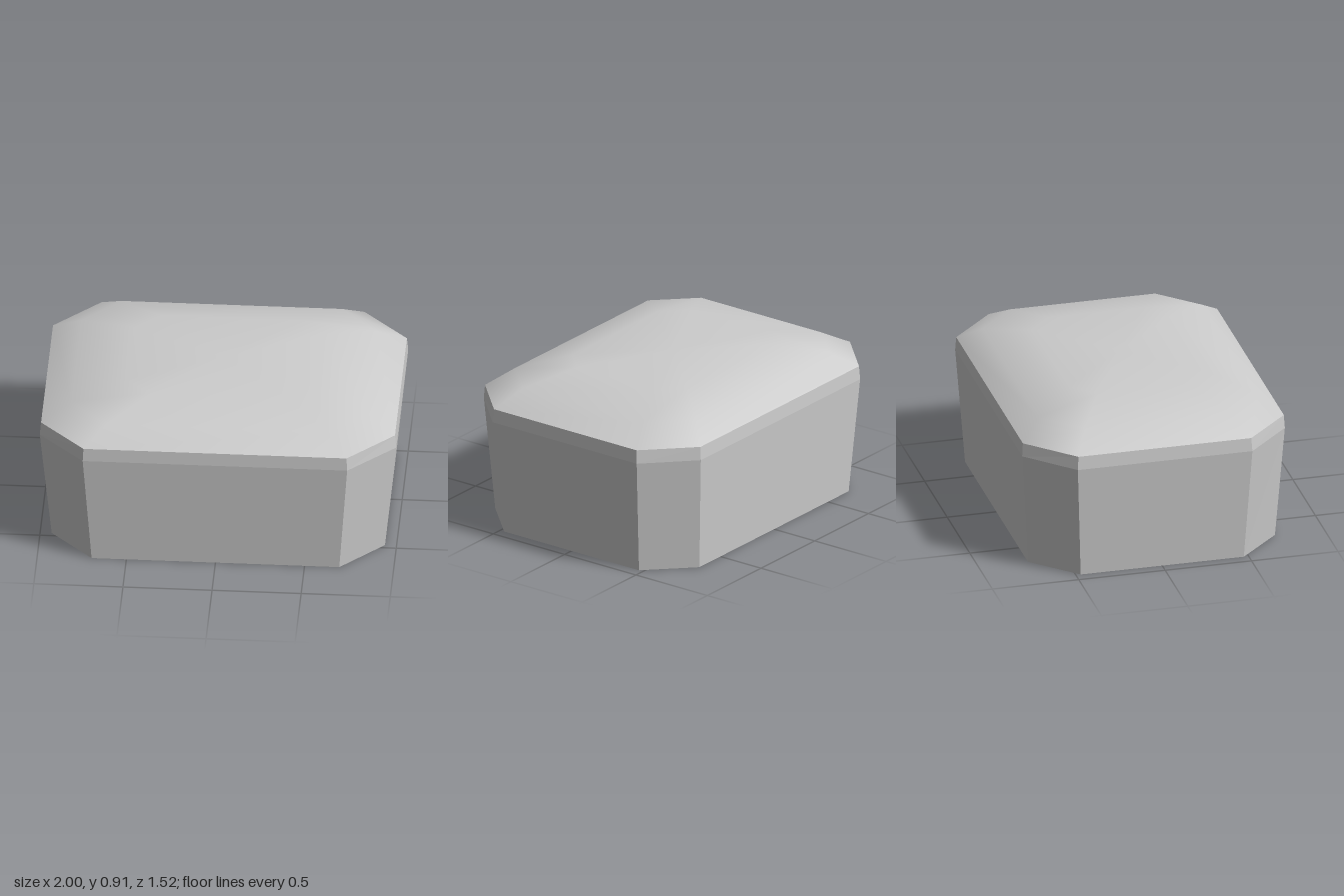
import * as THREE from 'three';

// Eight-cornered ring: half sizes x, z and the half lengths fx, fz of the straight sides
const ring = ([y, x, z, fx, fz]) => [
  [x, y, -fz], [x, y, fz], [fx, y, z], [-fx, y, z],
  [-x, y, fz], [-x, y, -fz], [-fx, y, -z], [fx, y, -z],
];

// Skin the rings from bottom to top, optionally closing the lower or upper end
function loft(levels, { bottom = false, top = false, flat = false }) {
  const points = levels.flatMap(ring);
  const index = [];
  const last = (levels.length - 1) * 8;
  for (let r = 0; r < last; r += 8) {
    for (let i = 0; i < 8; i++) {
      const j = (i + 1) % 8;
      index.push(r + i, r + 8 + i, r + j, r + 8 + i, r + 8 + j, r + j);
    }
  }
  if (bottom) {
    const c = points.push([0, levels[0][0], 0]) - 1;
    for (let i = 0; i < 8; i++) index.push(c, i, (i + 1) % 8);
  }
  if (top) {
    const c = points.push([0, levels[levels.length - 1][0], 0]) - 1;
    for (let i = 0; i < 8; i++) index.push(c, last + (i + 1) % 8, last + i);
  }
  let geometry = new THREE.BufferGeometry();
  geometry.setAttribute('position', new THREE.Float32BufferAttribute(points.flat(), 3));
  geometry.setIndex(index);
  if (flat) geometry = geometry.toNonIndexed();
  geometry.computeVertexNormals();
  return geometry;
}

export function createModel() {
  const group = new THREE.Group();
  group.name = 'chamferedBlock';
  const grey = new THREE.MeshStandardMaterial({ color: 0xcccccc });
  grey.name = 'light grey';

  const base = [0, 0.935, 0.715, 0.695, 0.472];
  const shoulder = [0.675, 1, 0.76, 0.742, 0.505];
  const rim = [0.753, 0.993, 0.755, 0.738, 0.5];
  const bevel = [0.845, 0.83, 0.635, 0.62, 0.42];
  const crown = [0.91, 0.53, 0.4, 0.39, 0.27];

  const add = (name, geometry) => {
    const mesh = new THREE.Mesh(geometry, grey);
    mesh.name = name;
    group.add(mesh);
  };
  // Flared faceted walls with the narrow band above them
  add('body', loft([base, shoulder, rim], { bottom: true, flat: true }));
  // Softly shaded domed top
  add('domedTop', loft([rim, bevel, crown], { top: true }));
  return group;
}
